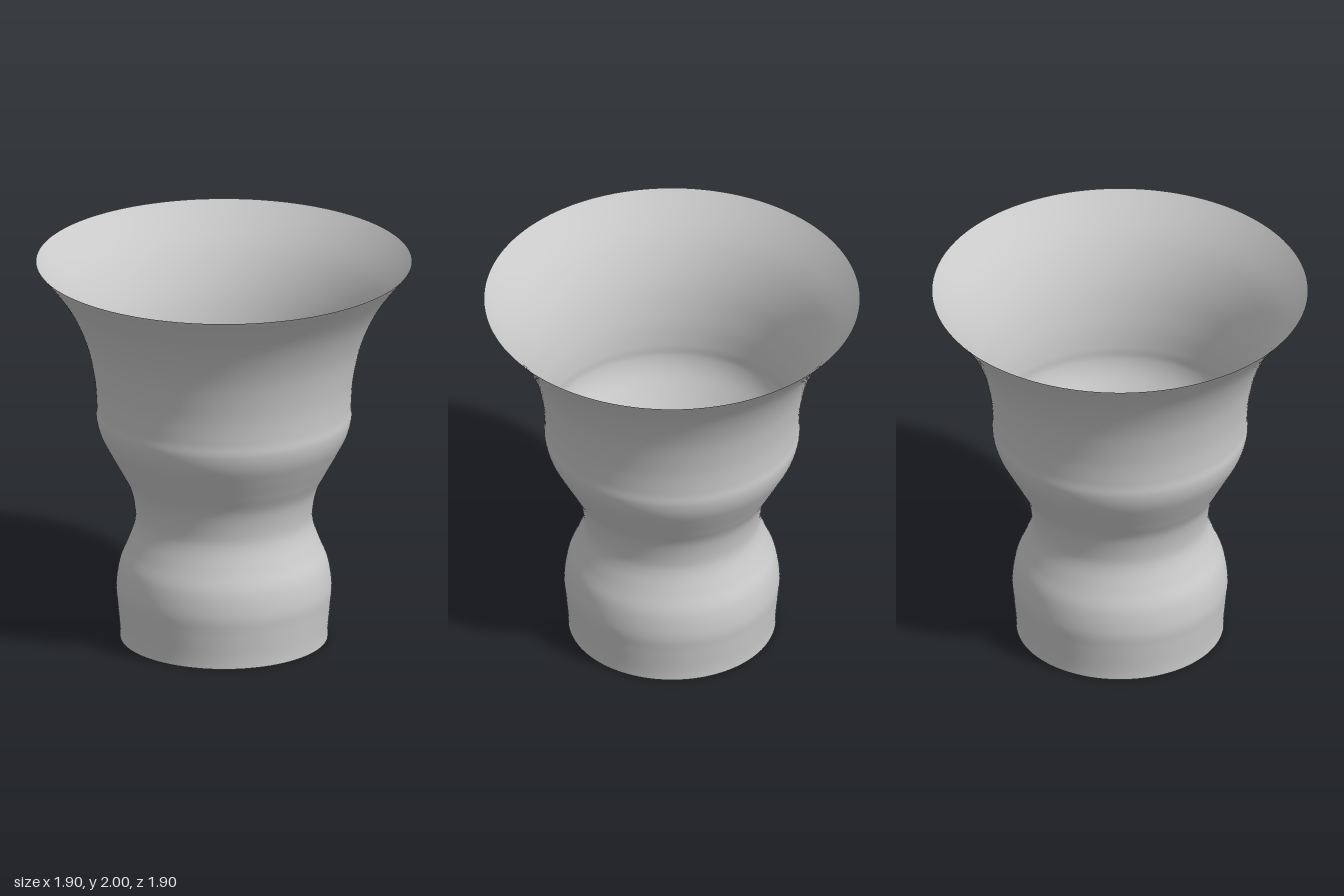
import * as THREE from 'three';

export function createModel() {
  const group = new THREE.Group();
  group.name = 'vase';

  // Half profile (radius, height), from the foot to the flared rim
  const profile = new THREE.SplineCurve([
    [0.525, 0], [0.527, 0.06], [0.538, 0.18], [0.545, 0.28], [0.527, 0.4], [0.487, 0.5],
    [0.453, 0.6], [0.449, 0.68], [0.474, 0.8], [0.525, 0.9], [0.58, 1.0],
    [0.625, 1.09], [0.645, 1.17], [0.644, 1.25], [0.657, 1.4], [0.705, 1.6],
    [0.8, 1.8], [0.95, 2],
  ].map(([r, y]) => new THREE.Vector2(r, y)));

  // Thin wall, open at both ends
  const wall = new THREE.Mesh(
    new THREE.LatheGeometry(profile.getPoints(102), 128),
    new THREE.MeshStandardMaterial({ color: 0xcccccc, side: THREE.DoubleSide }),
  );
  wall.name = 'vaseWall';
  group.add(wall);

  return group;
}
